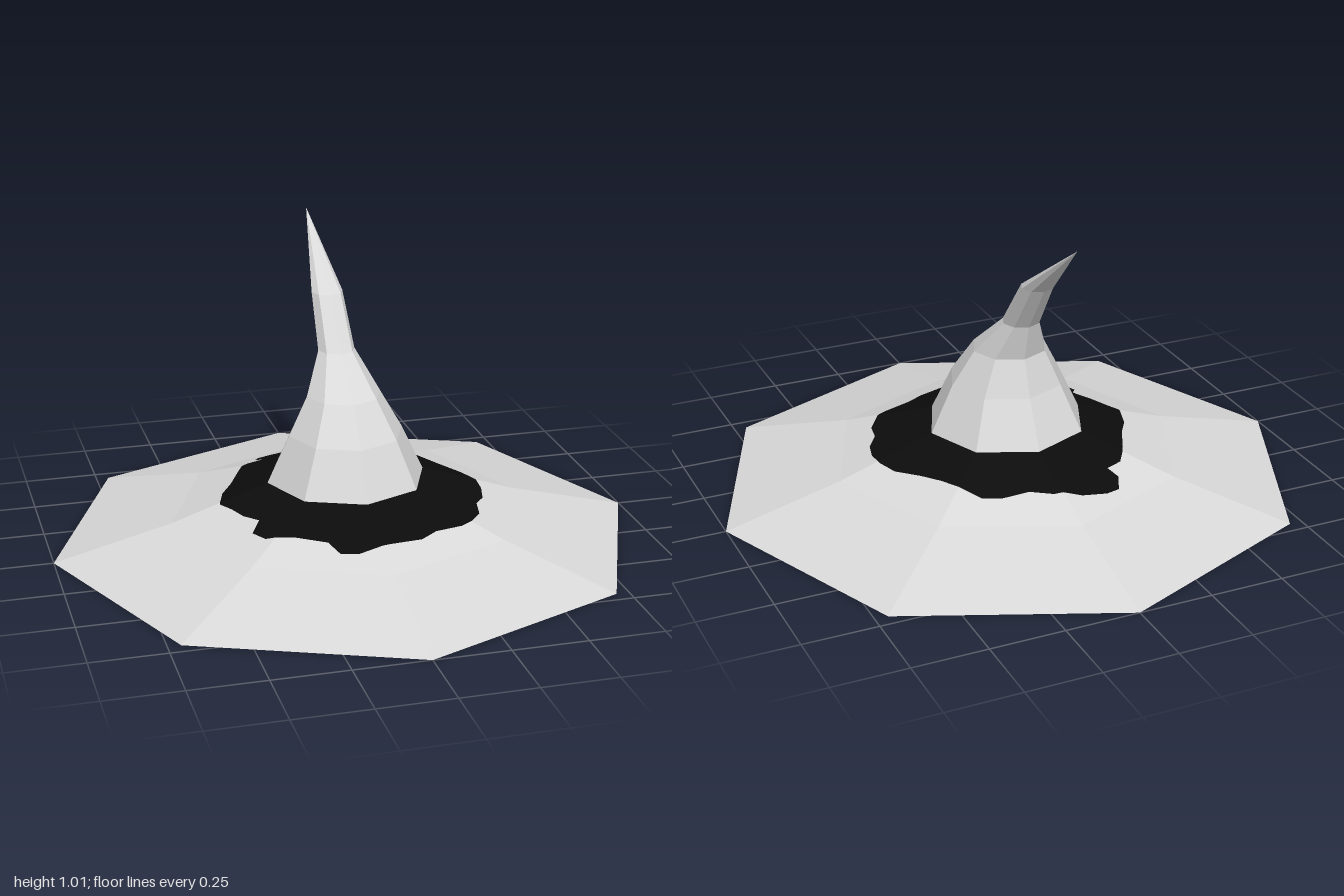
import * as THREE from 'three';

const SIDES = 8;
const STEP = (Math.PI * 2) / SIDES;

// Ring of points at one height; z shifts it backwards for the bent crown
const ring = (r, y, z = 0) =>
  Array.from({ length: SIDES }, (_, i) => new THREE.Vector3(r * Math.cos(i * STEP), y, z + r * Math.sin(i * STEP)));

// Joins closed rings, each given from the outside/bottom to the inside/top
function skin(name, rings, material) {
  const pts = [];
  for (let k = 0; k < rings.length - 1; k++) {
    const a = rings[k], b = rings[k + 1], n = a.length;
    for (let i = 0; i < n; i++) {
      const j = (i + 1) % n;
      pts.push(a[i], b[i], a[j], a[j], b[i], b[j]);
    }
  }
  const geometry = new THREE.BufferGeometry().setFromPoints(pts);
  geometry.computeVertexNormals();
  const mesh = new THREE.Mesh(geometry, material);
  mesh.name = name;
  return mesh;
}

export function createModel() {
  const felt = new THREE.MeshStandardMaterial({ color: 0xd9d9d9, flatShading: true, side: THREE.DoubleSide });
  felt.name = 'pale felt';
  const black = new THREE.MeshStandardMaterial({ color: 0x0c0c0c, flatShading: true, side: THREE.DoubleSide });
  black.name = 'black band';

  const hat = new THREE.Group();
  hat.name = 'pointedHat';

  // Crown: eight-sided cone bending backwards to a tip
  hat.add(skin('crown', [
    ring(0.272, 0.21), ring(0.196, 0.37), ring(0.127, 0.495, -0.027),
    ring(0.063, 0.622, -0.122), ring(0.054, 0.79, -0.245), ring(0.0005, 1.01, -0.53),
  ], felt));

  // Outer brim
  hat.add(skin('outerBrim', [ring(1, 0), ring(0.6, 0.1)], felt));

  // Ragged outline of the black band, as x, z pairs
  const edge = [
    [-0.15, -0.475], [-0.06, -0.475], [0, -0.455], [0.03, -0.45], [0.1, -0.41], [0.19, -0.4],
    [0.25, -0.375], [0.295, -0.31], [0.335, -0.235], [0.38, -0.165], [0.44, -0.085], [0.465, -0.01],
    [0.465, 0.06], [0.445, 0.135], [0.405, 0.19], [0.39, 0.265], [0.34, 0.335], [0.3, 0.36],
    [0.2, 0.39], [0.14, 0.43], [0.03, 0.455], [-0.085, 0.475], [-0.14, 0.455], [-0.165, 0.395],
    [-0.26, 0.34], [-0.35, 0.305], [-0.38, 0.245], [-0.345, 0.19], [-0.385, 0.13], [-0.41, 0.065],
    [-0.438, 0.01], [-0.41, -0.085], [-0.365, -0.155], [-0.315, -0.26], [-0.265, -0.34],
    [-0.205, -0.365], [-0.225, -0.405], [-0.2, -0.46],
  ];
  const TAU = Math.PI * 2;
  const polar = edge
    .map(([x, z]) => ({ a: (Math.atan2(z, x) + TAU) % TAU, r: Math.hypot(x, z) }))
    .sort((p, q) => p.a - q.a);
  const radiusAt = (a) => {
    const n = polar.length;
    const i = polar.findIndex((p) => p.a > a);
    const hi = polar[i < 0 ? 0 : i], lo = polar[i <= 0 ? n - 1 : i - 1];
    const span = (hi.a - lo.a + TAU) % TAU;
    return lo.r + (hi.r - lo.r) * (((a - lo.a + TAU) % TAU) / span);
  };
  // Outline angles plus the octagon corners, so every facet stays flat
  const angles = polar.map((p) => p.a);
  for (let i = 0; i < SIDES; i++) angles.push(i * STEP);
  angles.sort((a, b) => a - b);

  // Distance to the side of a unit octagon along a direction
  const octagon = (a) => Math.cos(STEP / 2) / Math.cos((a % STEP) - STEP / 2);
  const onBrim = (a, size) => {
    const r = size * octagon(a);
    const y = 0.21 - (0.11 * (size - 0.272)) / 0.328;
    return new THREE.Vector3(r * Math.cos(a), y, r * Math.sin(a));
  };
  const rim = angles.map((a) => onBrim(a, 0.6));
  const ragged = angles.map((a) => onBrim(a, radiusAt(a) / octagon(a)));
  const base = angles.map((a) => onBrim(a, 0.272));

  // Inner brim, split along the ragged outline into pale and black parts
  hat.add(skin('innerBrim', [rim, ragged], felt));
  hat.add(skin('blackBand', [ragged, base], black));
  return hat;
}
